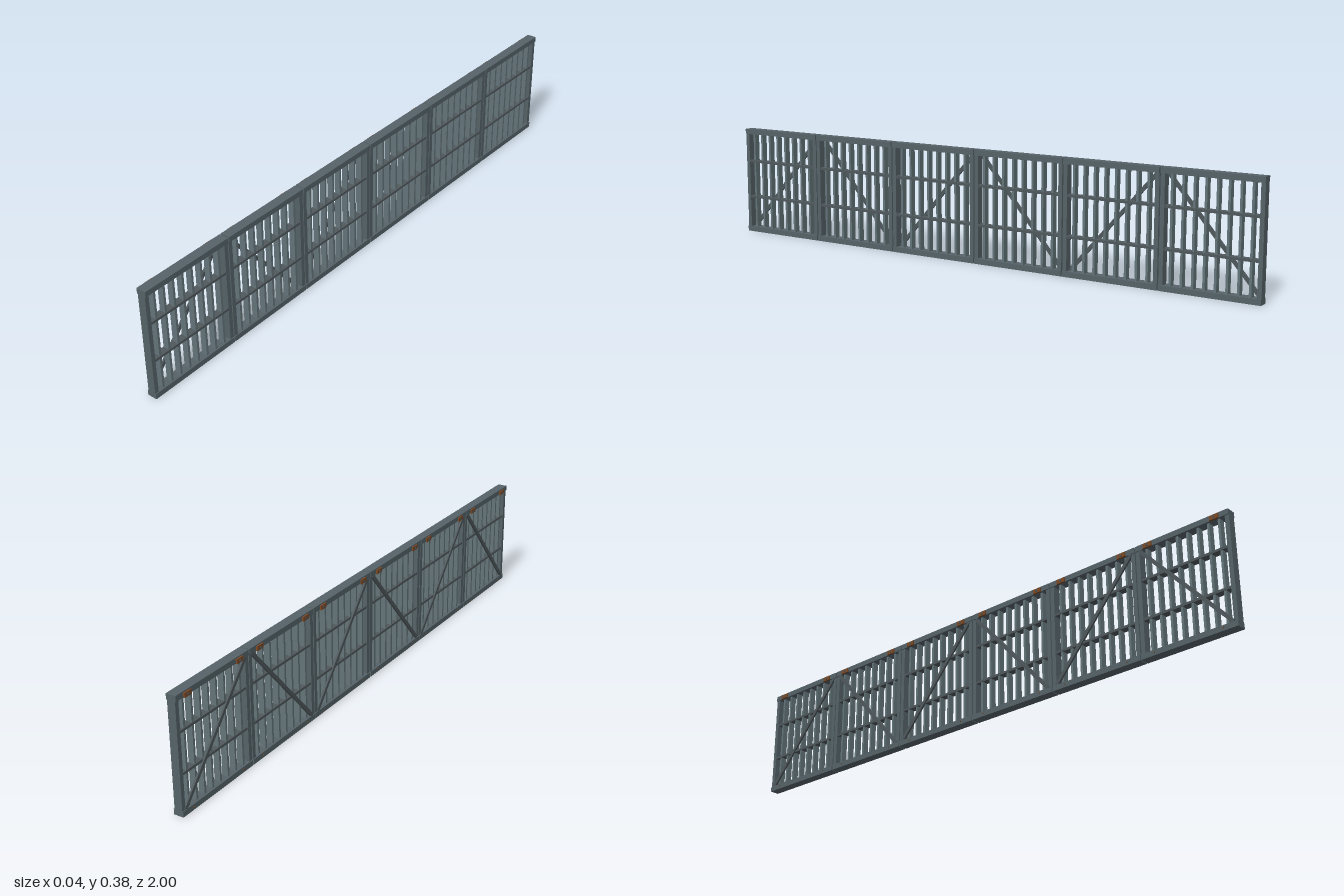
import * as THREE from 'three';

const PANELS = 6, PITCH = 0.334, WIDTH = 0.33;
const BOTTOM = 0.002, TOP = 0.38, RAIL = 0.018, POST = 0.014;

function material(name, color) {
  const m = new THREE.MeshStandardMaterial({ color });
  m.name = name;
  return m;
}

// Box given by its limits on each axis
function block(parent, name, mat, [x0, x1], [y0, y1], [z0, z1]) {
  const mesh = new THREE.Mesh(new THREE.BoxGeometry(x1 - x0, y1 - y0, z1 - z0), mat);
  mesh.position.set((x0 + x1) / 2, (y0 + y1) / 2, (z0 + z1) / 2);
  mesh.name = name;
  parent.add(mesh);
  return mesh;
}

function bolt(parent, mat, x, y, z, radius) {
  const mesh = new THREE.Mesh(new THREE.CylinderGeometry(radius, radius, 0.003, 8), mat);
  mesh.rotation.z = Math.PI / 2;
  mesh.position.set(x, y, z);
  mesh.name = 'bolt';
  parent.add(mesh);
}

export function createModel() {
  const frame = material('frame steel', 0x566369);
  const slatSteel = material('slat steel', 0x64757a);
  const braceSteel = material('brace steel', 0x50595d);
  const rust = material('rust', 0x7d4a26);
  const model = new THREE.Group();
  model.name = 'slattedFence';

  for (let i = 0; i < PANELS; i++) {
    const panel = new THREE.Group();
    panel.name = 'panel' + (i + 1);
    panel.position.z = ((PANELS - 1) / 2 - i) * PITCH;
    model.add(panel);
    const h = WIDTH / 2;

    // Outer frame
    block(panel, 'bottomRail', frame, [-0.014, 0.019], [BOTTOM, BOTTOM + RAIL], [-h, h]);
    block(panel, 'topRail', frame, [-0.014, 0.019], [TOP - RAIL, TOP], [-h, h]);
    for (const s of [-1, 1]) {
      const c = s * (h - POST / 2);
      block(panel, 'post', frame, [-0.011, 0.016], [BOTTOM + RAIL, TOP - RAIL], [c - POST / 2, c + POST / 2]);
    }

    // Upright slats, deeper than they are wide
    for (let k = 1; k <= 8; k++) {
      const z = -h + (k * WIDTH) / 9;
      block(panel, 'slat', slatSteel, [-0.007, 0.0135], [BOTTOM + RAIL, TOP - RAIL], [z - 0.004, z + 0.004]);
    }

    // Two cross rails
    for (const y of [0.131, 0.262])
      block(panel, 'crossRail', braceSteel, [-0.009, 0.0155], [y - 0.004, y + 0.004], [-h + POST, h - POST]);

    // Diagonal brace on the -x side, alternating in direction
    const rise = TOP - BOTTOM - 2 * RAIL, run = WIDTH - 2 * POST;
    const dir = i % 2 === 0 ? 1 : -1;
    const brace = block(panel, 'diagonalBrace', braceSteel, [-0.0135, -0.007], [0, Math.hypot(rise, run)], [-0.006, 0.006]);
    brace.position.set(-0.01, (TOP + BOTTOM) / 2, 0);
    brace.rotation.x = -dir * Math.atan2(run, rise);

    // Rusted brackets and bolts near the corners
    for (const s of [-1, 1]) {
      const z = s * 0.118;
      block(panel, 'rustedBracket', rust, [-0.019, -0.0135], [0.361, 0.376], [z - 0.015, z + 0.015]);
      bolt(panel, braceSteel, -0.0195, 0.368, z, 0.004);
      bolt(panel, rust, -0.015, 0.012, z, 0.002);
    }
  }
  return model;
}
